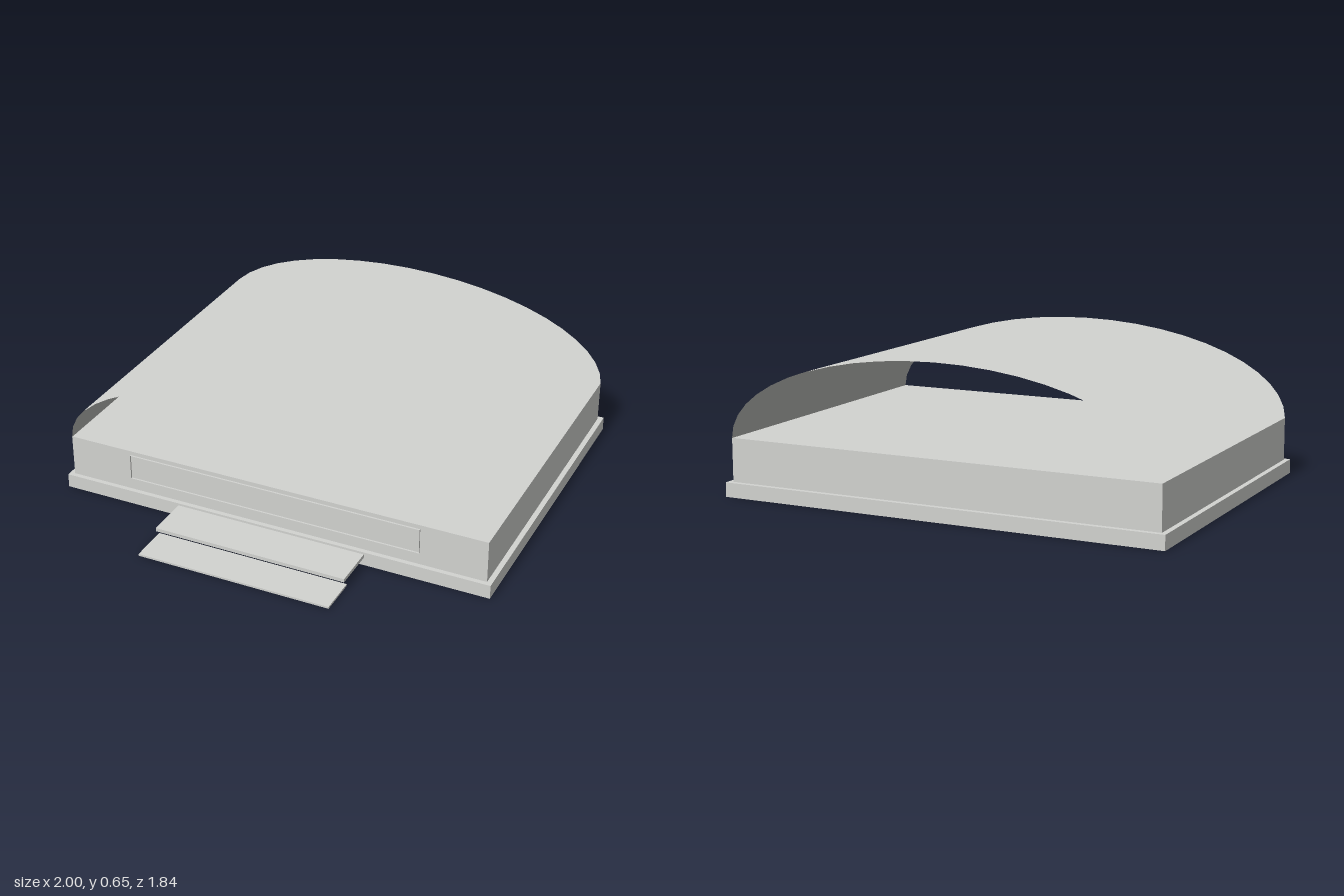
import * as THREE from 'three';

export function createModel() {
  const group = new THREE.Group();
  group.name = 'vaultedBuilding';
  const grey = new THREE.MeshStandardMaterial({ color: 0xd2d3d0, side: THREE.DoubleSide });
  grey.name = 'paleGrey';

  // Box given by its limits on each axis
  const block = (name, [x0, x1], [y0, y1], [z0, z1]) => {
    const mesh = new THREE.Mesh(new THREE.BoxGeometry(x1 - x0, y1 - y0, z1 - z0), grey);
    mesh.position.set((x0 + x1) / 2, (y0 + y1) / 2, (z0 + z1) / 2);
    mesh.name = name;
    group.add(mesh);
    return mesh;
  };

  block('basePlinth', [-1, 1], [0, 0.063], [-0.92, 0.576]);
  block('walls', [-0.977, 0.977], [0.063, 0.253], [-0.897, 0.555]);
  block('upperStep', [-0.44, 0.44], [0.037, 0.053], [0.57, 0.772]);
  block('lowerStep', [-0.44, 0.44], [0.003, 0.012], [0.745, 0.92]);

  // Shallow rim on the front wall: only the four sides of its box, open at the front
  const rim = block('frontRim', [-0.68, 0.68], [0.12, 0.234], [0.555, 0.563]).geometry;
  rim.setIndex(Array.from(rim.index.array.slice(0, 24)));

  // One curved sheet of the open-ended elliptical vault, shaded as a flat plane
  const segments = 24, spring = 0.253, front = 0.555, back = -0.897;
  const vaultSheet = (name, halfWidth, rise, facesOut) => {
    const positions = [], normals = [], index = [];
    for (let i = 0; i <= segments; i++) {
      const a = Math.PI * (1 - i / segments);
      for (const z of facesOut ? [front, back] : [back, front]) {
        positions.push(halfWidth * Math.cos(a), spring + rise * Math.sin(a), z);
        normals.push(0, 1, 0);
      }
      const p = 2 * i;
      if (i < segments) index.push(p, p + 2, p + 1, p + 1, p + 2, p + 3);
    }
    const geometry = new THREE.BufferGeometry();
    geometry.setAttribute('position', new THREE.Float32BufferAttribute(positions, 3));
    geometry.setAttribute('normal', new THREE.Float32BufferAttribute(normals, 3));
    geometry.setIndex(index);
    const mesh = new THREE.Mesh(geometry, grey);
    mesh.name = name;
    group.add(mesh);
  };
  vaultSheet('roofOutside', 0.977, 0.393, true);
  vaultSheet('roofInside', 0.975, 0.391, false);

  return group;
}
